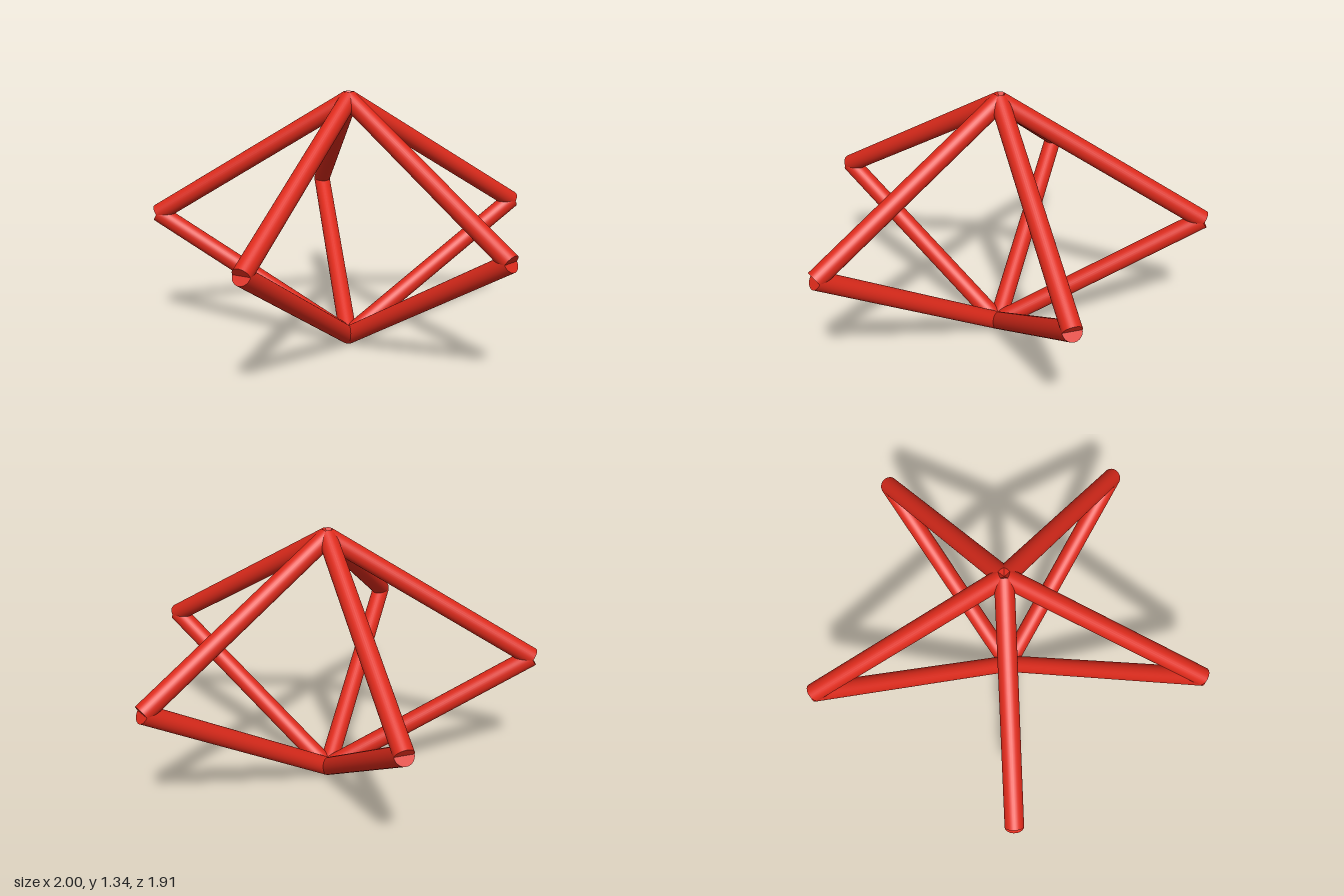
import * as THREE from 'three';

const RADIUS = 0.0465;  // strut thickness
const HALF = 0.6315;    // apex height above the rim
const RIM = 1.0227;     // rim distance from the axis
const MID_Y = 0.671;
const AXIS_Z = -0.093;

export function createModel() {
  const model = new THREE.Group();
  model.name = 'bipyramidFrame';
  const material = new THREE.MeshStandardMaterial({ color: 0xdd2a1b });
  const geometry = new THREE.CylinderGeometry(RADIUS, RADIUS, Math.hypot(HALF, RIM), 32);
  const up = new THREE.Vector3(0, 1, 0);

  // One flat-ended rod between two points
  function strut(name, from, to) {
    const mesh = new THREE.Mesh(geometry, material);
    mesh.name = name;
    mesh.position.addVectors(from, to).multiplyScalar(0.5);
    mesh.quaternion.setFromUnitVectors(up, to.clone().sub(from).normalize());
    return mesh;
  }

  const top = new THREE.Vector3(0, HALF, 0);
  const bottom = new THREE.Vector3(0, -HALF, 0);

  // Five bent ribs, each an upper and a lower strut meeting at the rim
  for (let i = 0; i < 5; i++) {
    const a = (i * Math.PI * 2) / 5;
    const corner = new THREE.Vector3(Math.sin(a) * RIM, 0, Math.cos(a) * RIM);
    const rib = new THREE.Group();
    rib.name = `rib${i + 1}`;
    rib.add(strut('upperStrut', corner, top), strut('lowerStrut', bottom, corner));
    model.add(rib);
  }

  model.position.set(0, MID_Y, AXIS_Z);
  const root = new THREE.Group();
  root.name = 'model';
  root.add(model);
  return root;
}
